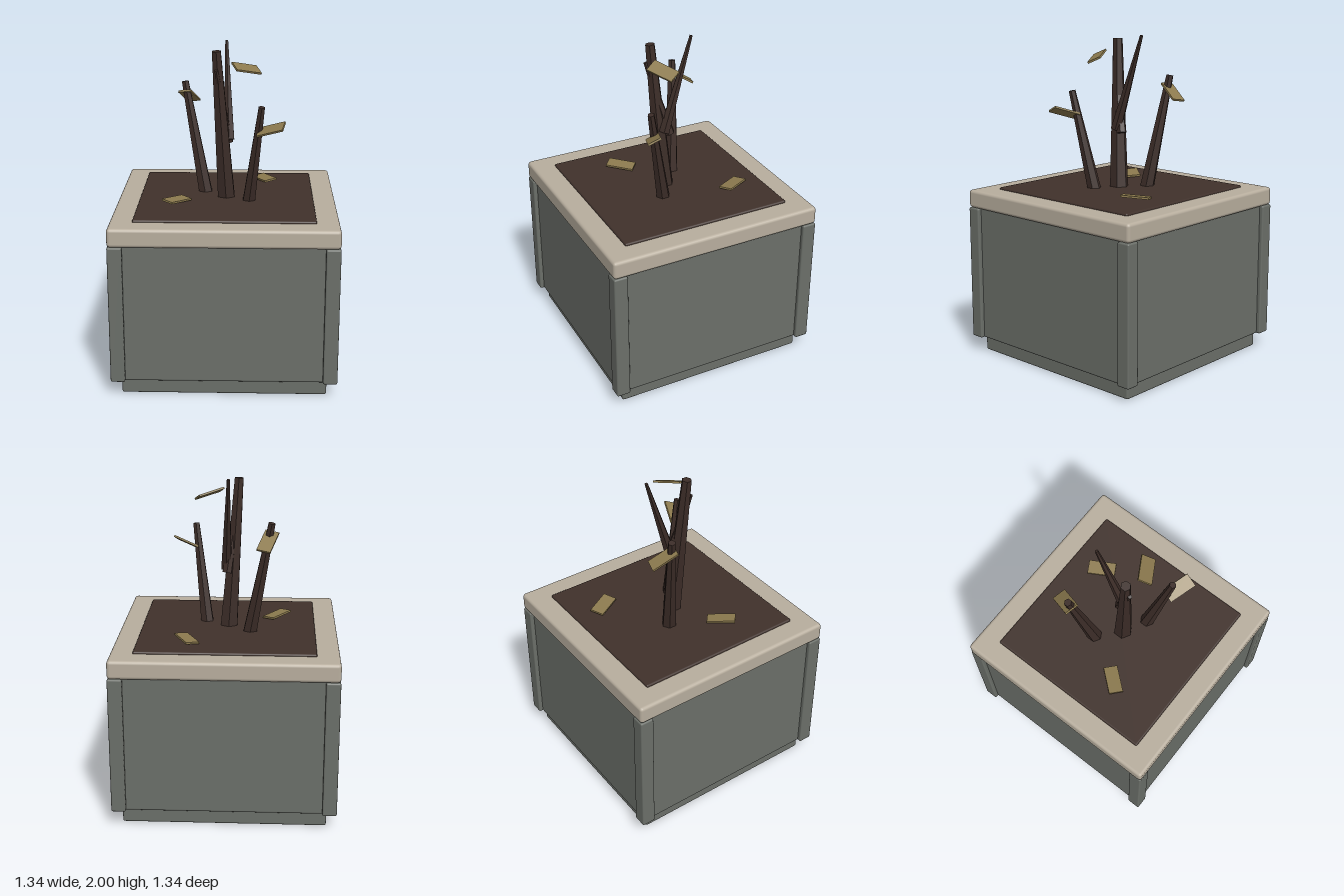
import * as THREE from 'three';
import { RoundedBoxGeometry } from 'three/addons/geometries/RoundedBoxGeometry.js';

const flat = (name, color) => {
  const m = new THREE.MeshStandardMaterial({ color });
  m.name = name;
  return m;
};

export function createModel() {
  const stone = flat('grey stone', 0x6b6f69);
  const rimStone = flat('pale stone', 0xb8ae9e);
  const earth = flat('soil', 0x40312b);
  const wood = flat('dead wood', 0x3b2c27);
  const dry = flat('dry leaf', 0x8c7a4e);
  wood.flatShading = true;

  const model = new THREE.Group();
  model.name = 'planter';
  const add = (name, geometry, material, x = 0, y = 0, z = 0) => {
    const mesh = new THREE.Mesh(geometry, material);
    mesh.name = name;
    mesh.position.set(x, y, z);
    model.add(mesh);
    return mesh;
  };

  // Square slab with softened edges, from y0 to y1
  const slab = (name, width, y0, y1, bevel, material, x = 0, z = 0) =>
    add(name, new RoundedBoxGeometry(width, y1 - y0, width, 2, bevel), material, x, (y0 + y1) / 2, z);

  // Planter
  slab('plinth', 1.22, 0, 0.1, 0.012, stone);
  slab('body', 1.29, 0.095, 0.94, 0.012, stone);
  for (const sx of [-1, 1]) {
    for (const sz of [-1, 1]) slab('cornerPost', 0.086, 0.095, 0.935, 0.01, stone, sx * 0.627, sz * 0.627);
  }
  slab('rim', 1.34, 0.935, 1.047, 0.02, rimStone);
  slab('soil', 1.07, 0.99, 1.06, 0.01, earth);

  // Tapered six-sided stem between two points
  const up = new THREE.Vector3(0, 1, 0);
  const stem = (name, from, to, r0, r1) => {
    const a = new THREE.Vector3(...from);
    const b = new THREE.Vector3(...to);
    const dir = b.clone().sub(a);
    const mesh = add(name, new THREE.CylinderGeometry(r1, r0, dir.length(), 6), wood);
    mesh.position.copy(a).add(b).multiplyScalar(0.5);
    mesh.quaternion.setFromUnitVectors(up, dir.normalize());
  };
  stem('mainStem', [0, 1.02, 0.015], [-0.06, 1.97, 0.08], 0.06, 0.03);
  stem('leftStem', [-0.13, 1.02, -0.095], [-0.263, 1.745, -0.17], 0.047, 0.023);
  stem('rightStem', [0.135, 1.02, 0.09], [0.212, 1.66, 0.21], 0.044, 0.021);
  stem('tallBranch', [0.015, 1.42, 0.025], [-0.005, 2, -0.163], 0.036, 0.01);
  stem('shortBranch', [0.01, 1.4, -0.015], [-0.06, 1.86, 0.11], 0.032, 0.012);

  // Thin leaf, placed by its centre and its length and width directions
  const leafShape = new THREE.BoxGeometry(0.172, 0.012, 0.085);
  const leaf = (name, centre, along, across) => {
    const mesh = add(name, leafShape, dry, ...centre);
    const x = new THREE.Vector3(...along).normalize();
    const y = new THREE.Vector3(...across).cross(x).normalize();
    const z = new THREE.Vector3().crossVectors(x, y);
    mesh.quaternion.setFromRotationMatrix(new THREE.Matrix4().makeBasis(x, y, z));
  };
  leaf('fallenLeafLeft', [-0.3, 1.08, 0.175], [-0.11, 0.012, 0.13], [0.065, -0.007, 0.054]);
  leaf('fallenLeafRight', [0.235, 1.08, -0.335], [0.082, 0.008, 0.15], [0.08, 0.01, -0.043]);
  leaf('leafLeft', [-0.24, 1.645, -0.212], [0.053, -0.09, -0.145], [0.08, 0.015, 0.027]);
  leaf('leafTop', [0.12, 1.87, 0.086], [0.147, -0.035, -0.086], [0.036, -0.035, 0.068]);
  leaf('leafRight', [0.267, 1.53, 0.222], [0.148, 0.05, 0.058], [-0.025, -0.04, 0.08]);

  return model;
}
